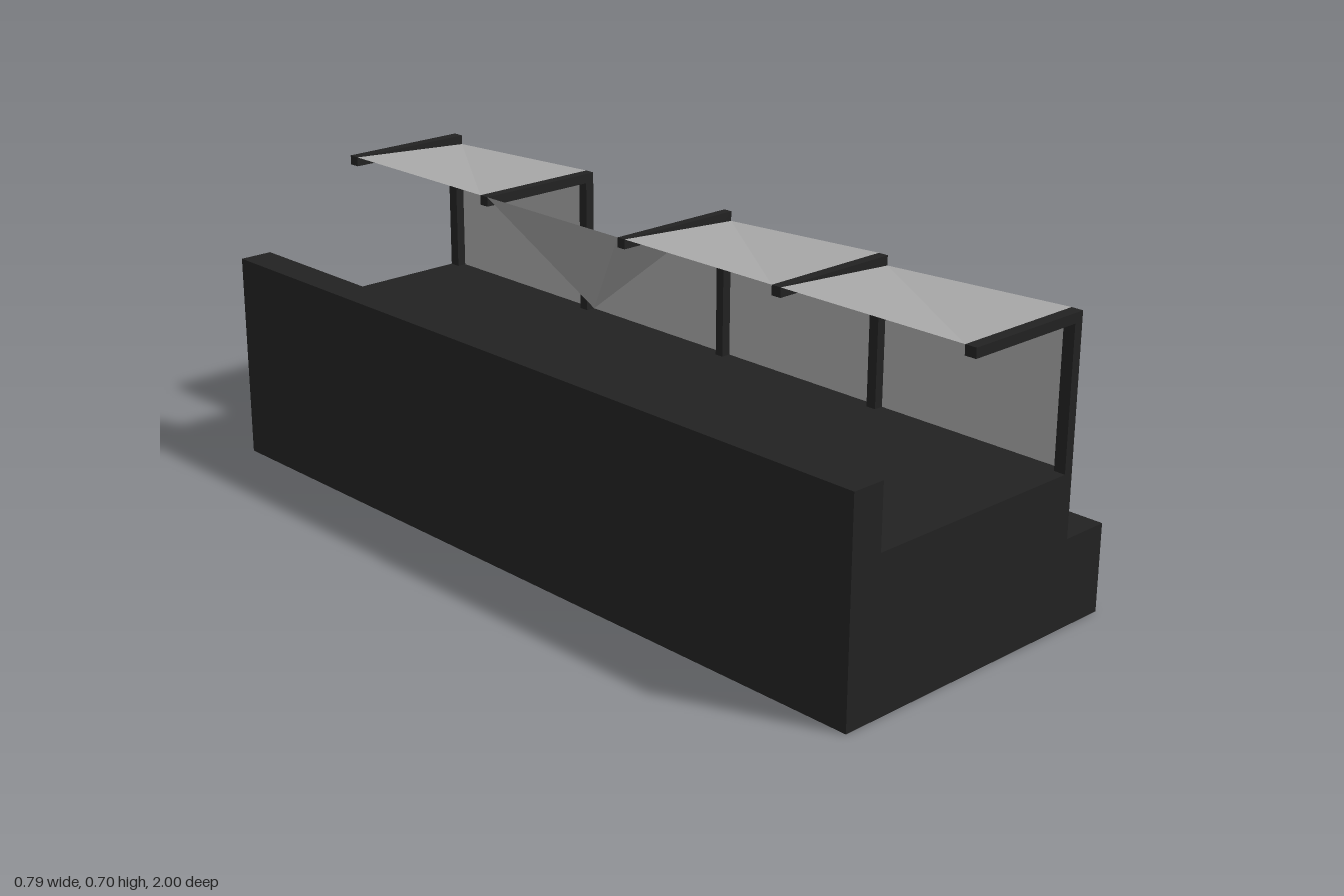
import * as THREE from 'three';

const dark = new THREE.MeshStandardMaterial({ color: 0x222222 });
const pane = new THREE.MeshStandardMaterial({ color: 0xa8a8a8, side: THREE.DoubleSide });

// Cross-section in x/y, extruded from z0 to z1
function prism(name, points, z0, z1) {
  const shape = new THREE.Shape(points.map(([x, y]) => new THREE.Vector2(x, y)));
  const geometry = new THREE.ExtrudeGeometry(shape, { depth: z1 - z0, bevelEnabled: false });
  geometry.translate(0, 0, z0);
  const mesh = new THREE.Mesh(geometry, dark);
  mesh.name = name;
  return mesh;
}

// Thin sheet made of triangles, given as lists of corners
function sheet(name, triangles) {
  const geometry = new THREE.BufferGeometry();
  geometry.setAttribute('position', new THREE.Float32BufferAttribute(triangles.flat(2), 3));
  geometry.computeVertexNormals();
  const mesh = new THREE.Mesh(geometry, pane);
  mesh.name = name;
  return mesh;
}

const inner = -0.058, outer = 0.275, floor = 0.355, top = 0.703, thick = 0.023;

export function createModel() {
  const group = new THREE.Group();

  // Stepped base: low ledge on one side, parapet on the other
  group.add(prism('base', [
    [-0.395, 0], [0.395, 0], [0.395, 0.205], [outer, 0.205],
    [outer, floor], [-0.313, floor], [-0.313, 0.503], [-0.395, 0.503],
  ], -1, 1));

  // Five L-shaped frames: post and roof beam
  const frames = [[0.972, 1], [0.46, 0.485], [-0.011, 0.011], [-0.488, -0.463], [-1, -0.972]];
  for (const [z0, z1] of frames) {
    group.add(prism('canopyFrame', [
      [outer - thick, floor], [outer, floor], [outer, top], [inner, top],
      [inner, top - thick], [outer - thick, top - thick],
    ], z0, z1));
  }

  // Wall and roof sheets per bay; the rear corner sags, fully so in the third bay
  for (let i = 0; i < 4; i++) {
    const za = frames[i][0], zb = frames[i + 1][1];
    const sag = i === 2 ? floor : top - thick;
    const ridgeA = [outer, top, za], ridgeB = [outer, sag, zb];
    const footA = [outer, floor, za], footB = [outer, floor, zb];
    const eaveA = [inner, top, za], eaveB = [inner, top, zb];
    const wall = [[footA, footB, ridgeA]];
    if (sag > floor) wall.push([footB, ridgeB, ridgeA]);
    group.add(sheet('wallPanel', wall));
    group.add(sheet('roofPanel', [[ridgeA, ridgeB, eaveA], [ridgeB, eaveB, eaveA]]));
  }
  return group;
}
